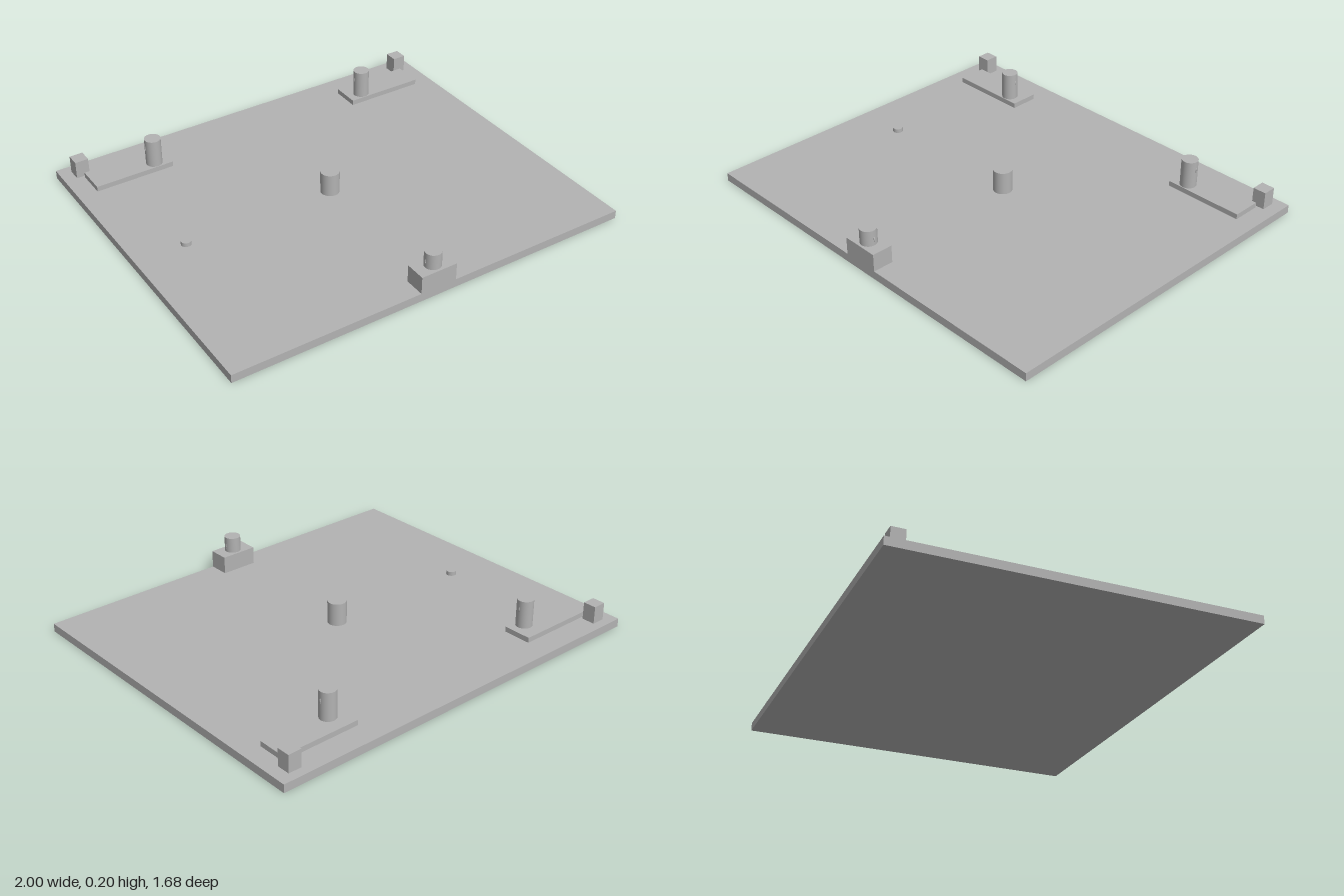
import * as THREE from 'three';

export function createModel() {
  const model = new THREE.Group();
  model.name = 'basePlateAssembly';
  const grey = new THREE.MeshStandardMaterial({ color: 0xb2b2b2 });
  grey.name = 'plain grey';
  const top = 0.04; // upper face of the plate

  const add = (name, geometry, x, y, z) => {
    const mesh = new THREE.Mesh(geometry, grey);
    mesh.name = name;
    mesh.position.set(x, y, z);
    model.add(mesh);
    return mesh;
  };
  // Box given by footprint and its bottom and top heights
  const block = (name, x, z, w, d, y0, y1) =>
    add(name, new THREE.BoxGeometry(w, y1 - y0, d), x, (y0 + y1) / 2, z);
  // Upright cylinder between two heights
  const peg = (name, x, z, r, y0, y1) =>
    add(name, new THREE.CylinderGeometry(r, r, y1 - y0, 40), x, (y0 + y1) / 2, z);
  // Peg with thin curved snap ribs on its left and right sides
  const ribbedPeg = (name, x, z, y0) => {
    peg(name, x, z, 0.039, y0, 0.2);
    const rib = new THREE.CylinderGeometry(0.042, 0.042, 0.005, 32);
    rib.rotateX(Math.PI / 2);
    add(name + 'Ribs', rib, x, 0.155, z).scale.y = 0.75;
  };

  block('basePlate', 0, 0, 2, 1.68, 0, top);

  // Rear corners: stop post, low pad and locating peg
  for (const [side, s] of [['left', 1], ['right', -1]]) {
    block(side + 'CornerPost', s * 0.908, -0.763, 0.065, 0.065, top, 0.125);
    block(side + 'Pad', s * 0.71, -0.648, 0.392, 0.14, top, 0.065);
    ribbedPeg(side + 'Peg', s * 0.591, -0.62, 0.065);
  }

  // Front block with its peg
  block('frontBlock', 0, 0.79, 0.18, 0.1, top, 0.125);
  ribbedPeg('frontPeg', 0, 0.79, 0.125);

  // Centre post and small side button
  peg('centrePost', 0, 0, 0.045, top, 0.15);
  peg('sideButton', -0.75, 0, 0.024, top, 0.06);

  return model;
}
